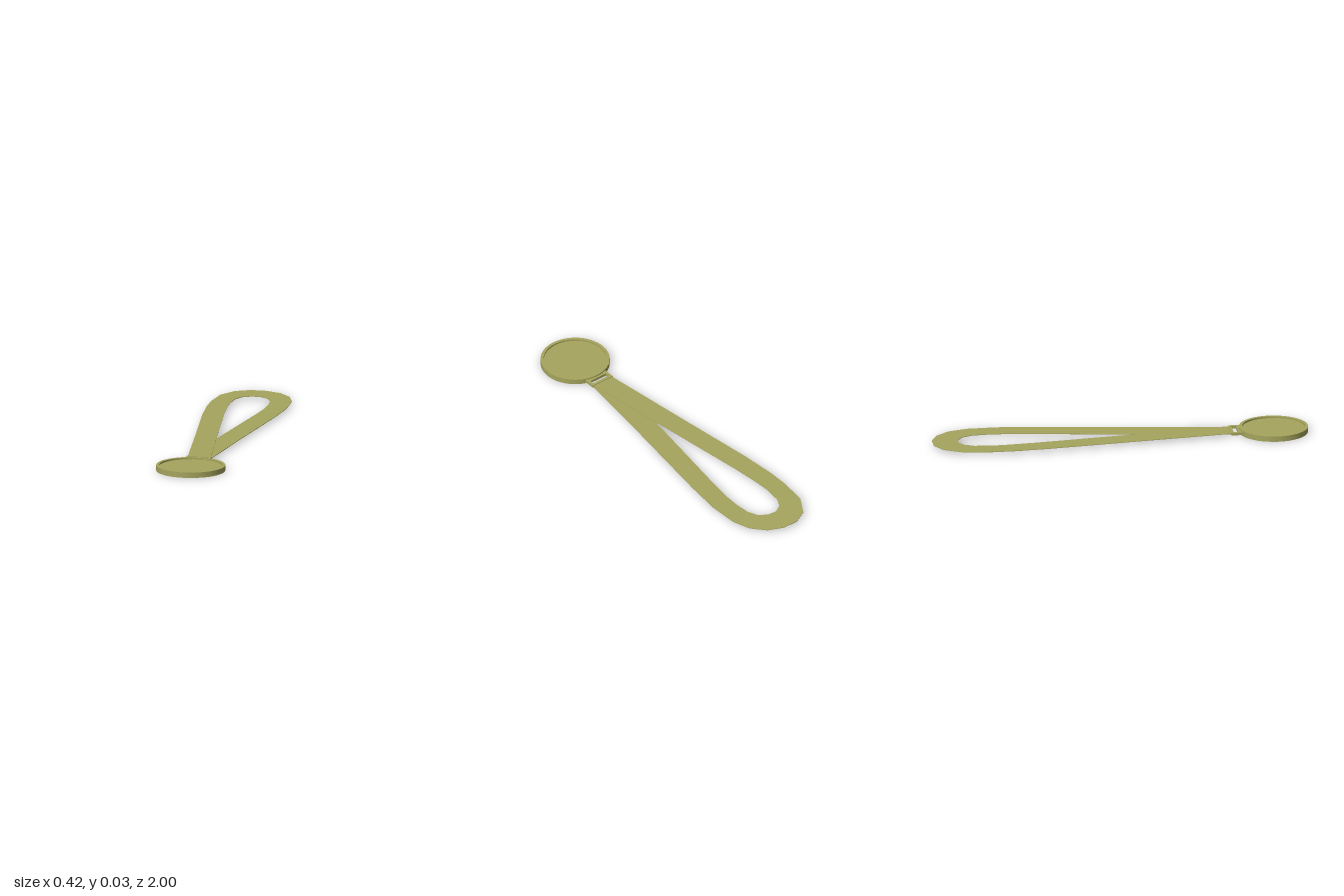
import * as THREE from 'three';
import { toCreasedNormals } from 'three/addons/utils/BufferGeometryUtils.js';

const CX = -0.013; // the medal hangs slightly off centre

// Flat band swept through [outerX, outerZ, innerX, innerZ] sections
function bandGeometry(sections, middle, thickness, lift) {
  const pos = [], index = [];
  const last = sections.length - 1;
  sections.forEach(([ox, oz, ix, iz], i) => {
    const y = middle + lift * (1 - (2 * i) / last);
    const t = y + thickness / 2, b = y - thickness / 2;
    pos.push(ox, t, oz, ix, t, iz, ix, b, iz, ox, b, oz);
    if (i === last) return;
    for (let k = 0; k < 4; k++) {
      const a = i * 4 + k, c = i * 4 + ((k + 1) % 4);
      index.push(a, c, a + 4, c, c + 4, a + 4);
    }
  });
  const e = last * 4;
  index.push(0, 2, 1, 0, 3, 2, e, e + 1, e + 2, e, e + 2, e + 3);
  const g = new THREE.BufferGeometry();
  g.setAttribute('position', new THREE.Float32BufferAttribute(pos, 3));
  g.setIndex(index);
  return toCreasedNormals(g, 0.5);
}

export function createModel() {
  const model = new THREE.Group();
  model.name = 'medal';
  const material = new THREE.MeshStandardMaterial({ color: 0xa6a55e, side: THREE.DoubleSide });
  const add = (geometry, name) => {
    const mesh = new THREE.Mesh(geometry, material);
    mesh.name = name;
    model.add(mesh);
    return mesh;
  };

  // Disc with a raised rim around a sunken face
  const profile = [[0, 0], [0.183, 0], [0.183, 0.029], [0.167, 0.029], [0.167, 0.02], [0, 0.02]]
    .map(([r, y]) => new THREE.Vector2(r, y));
  const disc = add(toCreasedNormals(new THREE.LatheGeometry(profile, 40), 0.6), 'disc');
  disc.position.set(CX, 0, 0.817);

  // Slotted lug joining the disc to the ribbon
  const rect = (path, w, z0, z1) => {
    path.moveTo(-w, -z0);
    path.lineTo(w, -z0);
    path.lineTo(w, -z1);
    path.lineTo(-w, -z1);
    path.closePath();
    return path;
  };
  const frame = rect(new THREE.Shape(), 0.067, 0.583, 0.66);
  frame.holes.push(rect(new THREE.Path(), 0.052, 0.598, 0.623));
  const lugGeometry = new THREE.ExtrudeGeometry(frame, { depth: 0.014, bevelEnabled: false });
  lugGeometry.rotateX(-Math.PI / 2);
  add(lugGeometry, 'ribbonLug').position.set(CX, 0.008, 0);

  // Ribbon: one strand up, round the loop and back beneath the first
  const ribbon = [
    [-0.075, 0.598, 0.049, 0.598],
    [-0.057 - 0.075, 0.12, -0.013, 0.135],
    [-0.195, -0.39, -0.088, -0.45],
    [-0.211, -0.59, -0.102, -0.6],
    [-0.211, -0.71, -0.106, -0.69],
    [-0.194, -0.86, -0.095, -0.79],
    [-0.135, -0.96, -0.069, -0.84],
    [-0.06, -1, -0.025, -0.865],
    [0.026, -1, 0.026, -0.86],
    [0.11, -0.963, 0.069, -0.83],
    [0.174, -0.89, 0.093, -0.775],
    [0.206, -0.79, 0.1, -0.69],
    [0.211, -0.63, 0.096, -0.59],
    [0.19, -0.43, 0.08, -0.47],
    [0.112, 0.12, -0.013, 0.135],
    [0.049, 0.598, -0.075, 0.598],
  ];
  add(bandGeometry(ribbon, 0.0155, 0.003, 0.002), 'ribbon');

  return model;
}
